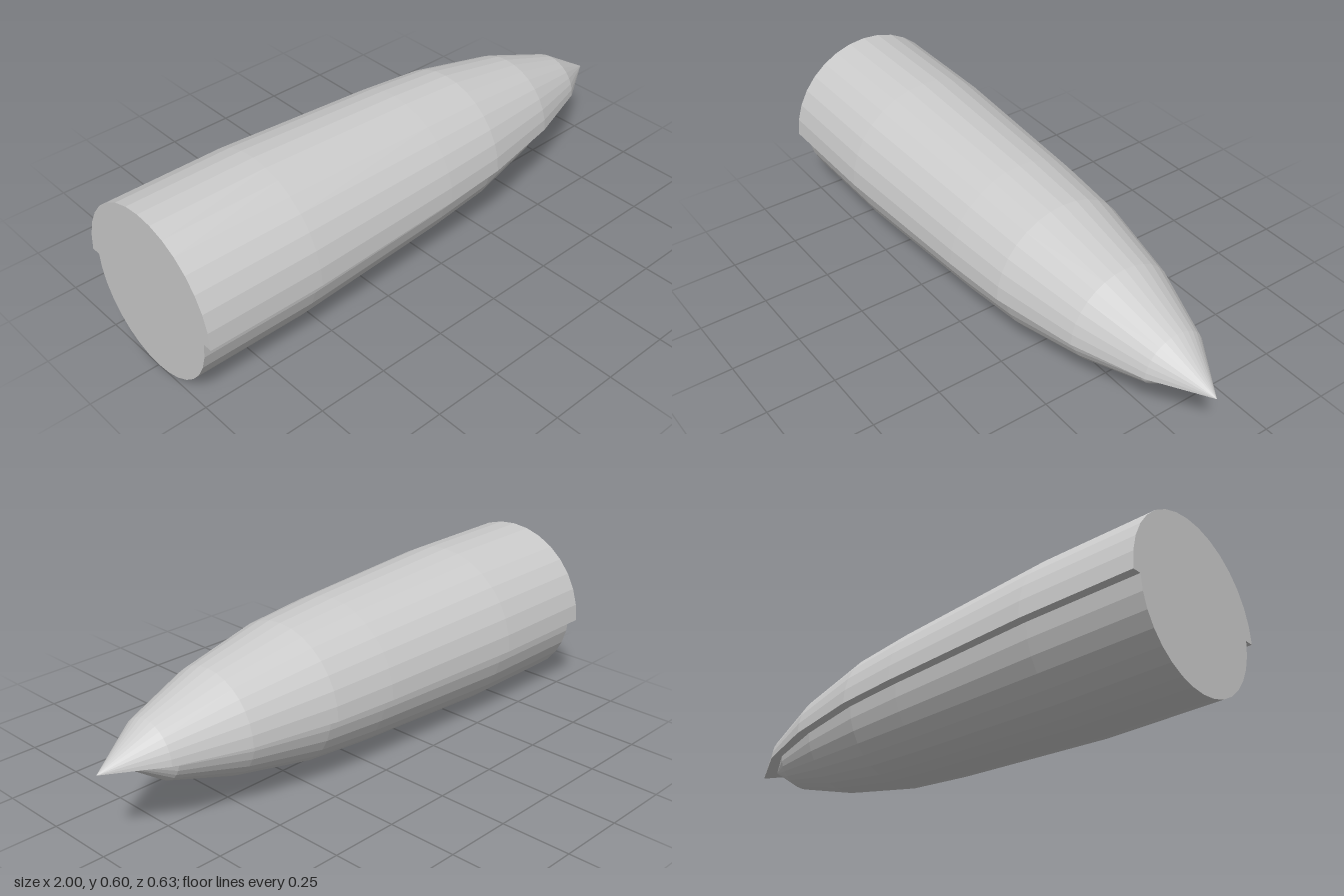
import * as THREE from 'three';

const AXIS_Y = 0.281;

// [distance along the length, radius], tail to tip
const UPPER = [[-1, 0.315], [-0.58, 0.315], [0.01, 0.285], [0.25, 0.265], [0.56, 0.204], [0.81, 0.118], [1, 0]];
const LOWER = [[-1, 0.281], [-0.58, 0.281], [0.01, 0.251], [0.25, 0.231], [0.53, 0.176], [0.77, 0.102], [0.92, 0]];

const material = new THREE.MeshStandardMaterial({ color: 0xcccccc, flatShading: true });

function addMesh(parent, name, geometry) {
  const mesh = new THREE.Mesh(geometry, material);
  mesh.name = name;
  parent.add(mesh);
}

// Half of a turned body lying along x, closed at the tail
function halfBody(profile, startAngle) {
  const points = [new THREE.Vector2(0, -1), ...profile.map(([x, r]) => new THREE.Vector2(r, x))];
  return new THREE.LatheGeometry(points, 16, startAngle, Math.PI).rotateZ(-Math.PI / 2);
}

// Flat outline of the body, facing down
function flatUnderside(profile) {
  const mirrored = profile.slice(0, -1).reverse().map(([x, r]) => [x, -r]);
  const outline = [...profile, ...mirrored].map(([x, r]) => new THREE.Vector2(x, r));
  return new THREE.ShapeGeometry(new THREE.Shape(outline)).rotateX(Math.PI / 2);
}

export function createModel() {
  const model = new THREE.Group();
  model.name = 'pointedHull';

  // Larger upper shell overhanging the lower one
  const upper = new THREE.Group();
  upper.name = 'upperHalf';
  addMesh(upper, 'upperShell', halfBody(UPPER, Math.PI));
  addMesh(upper, 'upperLedge', flatUnderside(UPPER));

  // Smaller lower shell
  const lower = new THREE.Group();
  lower.name = 'lowerHalf';
  addMesh(lower, 'lowerShell', halfBody(LOWER, 0));

  model.add(upper, lower);
  upper.position.y = lower.position.y = AXIS_Y;
  return model;
}
